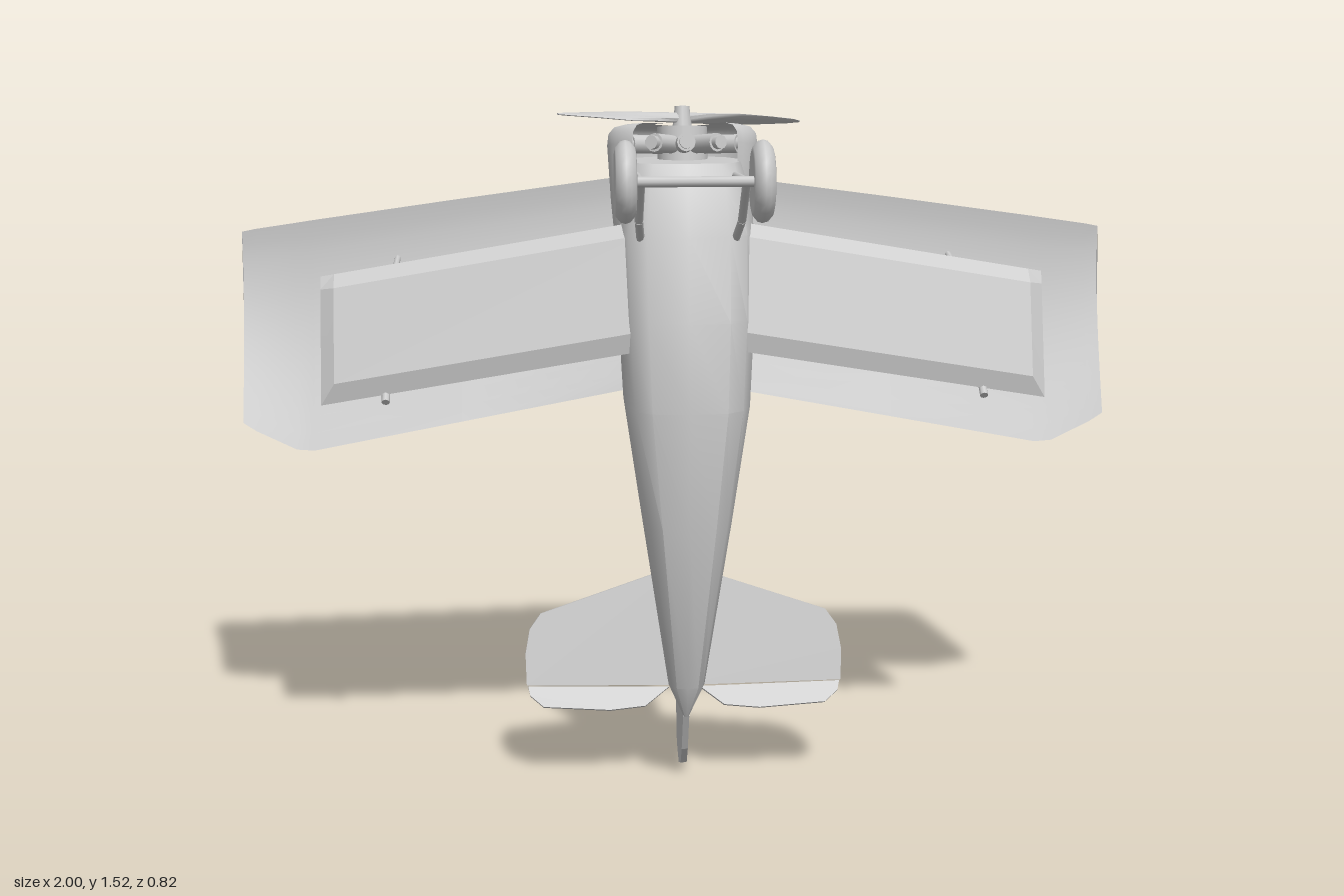
import * as THREE from 'three';
import { toCreasedNormals } from 'three/addons/utils/BufferGeometryUtils.js';

const grey = new THREE.MeshStandardMaterial({ color: 0xcccccc });
const greyThin = new THREE.MeshStandardMaterial({ color: 0xcccccc, side: THREE.DoubleSide });
const V = (x, y, z) => new THREE.Vector3(x, y, z);
const lerp = THREE.MathUtils.lerp;

// Skin closed rings of points, cap both ends, and turn the faces outward
function loft(rings, crease = 0.6) {
  const n = rings[0].length, tris = [];
  for (let i = 0; i < rings.length - 1; i++) {
    for (let j = 0; j < n; j++) {
      const k = (j + 1) % n;
      const a = rings[i][j], b = rings[i][k], c = rings[i + 1][k], d = rings[i + 1][j];
      tris.push([a, b, c], [a, c, d]);
    }
  }
  const cap = (ring, flip) => {
    const mid = V(0, 0, 0);
    ring.forEach(p => mid.addScaledVector(p, 1 / n));
    ring.forEach((p, j) => {
      const q = ring[(j + 1) % n];
      tris.push(flip ? [mid, q, p] : [mid, p, q]);
    });
  };
  cap(rings[0], true);
  cap(rings[rings.length - 1], false);
  let volume = 0;
  for (const [a, b, c] of tris) volume += a.dot(b.clone().cross(c));
  if (volume < 0) tris.forEach(t => t.reverse());
  const geo = new THREE.BufferGeometry().setFromPoints(tris.flat());
  geo.computeVertexNormals();
  return toCreasedNormals(geo, crease);
}

function createParts(group) {
  const add = (name, geo, mat = grey, parent = group) => {
    const mesh = new THREE.Mesh(geo, mat);
    mesh.name = name;
    parent.add(mesh);
    return mesh;
  };
  // Round rod between two points
  const rod = (name, a, b, r, r2 = r, sides = 8) => {
    const dir = b.clone().sub(a);
    const mesh = add(name, new THREE.CylinderGeometry(r2, r, dir.length(), sides));
    mesh.position.copy(a).add(b).multiplyScalar(0.5);
    mesh.quaternion.setFromUnitVectors(V(0, 1, 0), dir.normalize());
    return mesh;
  };
  // Thin plate cut from an outline
  const plate = (name, pts, depth) => {
    const geo = new THREE.ExtrudeGeometry(new THREE.Shape(pts.map(p => new THREE.Vector2(...p))),
      { depth, bevelEnabled: false });
    geo.translate(0, 0, -depth / 2);
    return add(name, geo);
  };

  // Fuselage: [y, half width, back z, belly z], nose upward
  const half = [[0, 1], [0.6, 0.94], [0.86, 0.76], [1, 0.42], [1, -0.3], [0.84, -0.68], [0.5, -0.93], [0, -1]];
  const section = [...half, ...half.slice(1, -1).reverse().map(([u, v]) => [-u, v])];
  const stations = [[1.41, 0.12, -0.11, 0.115], [1.36, 0.135, -0.13, 0.145], [1.26, 0.148, -0.145, 0.178],
    [1.08, 0.145, -0.122, 0.222], [0.89, 0.135, -0.1, 0.24], [0.63, 0.097, -0.06, 0.215],
    [0.25, 0.04, 0.015, 0.14], [0.17, 0.006, 0.07, 0.095]];
  add('fuselage', loft(stations.map(([y, w, back, belly]) =>
    section.map(([u, v]) => V(u * w, y, (back + belly) / 2 + v * (belly - back) / 2)))));

  // Cockpit rim with a shallow well, and the headrest behind it
  const rim = add('cockpitRim', new THREE.TorusGeometry(0.06, 0.012, 8, 24));
  rim.position.set(0, 0.95, -0.112);
  rim.scale.y = 1.2;
  rim.rotation.x = 0.12;
  const headrest = add('headrest', new THREE.SphereGeometry(0.05, 16, 10));
  headrest.scale.set(0.7, 2, 0.6);
  headrest.position.set(0, 0.79, -0.08);

  // Cowling, open at the belly side, with engine and propeller on its tilted axis
  const nose = new THREE.Group();
  nose.name = 'nose';
  nose.position.set(0, 1.26, -0.022);
  nose.rotation.x = -0.12;
  group.add(nose);
  const cowlProfile = [[0.152, -0.005], [0.158, 0.06], [0.165, 0.18], [0.162, 0.205], [0.15, 0.219], [0.13, 0.224], [0.06, 0.226]]
    .map(p => new THREE.Vector2(...p));
  const cowl = add('cowling', toCreasedNormals(new THREE.LatheGeometry(cowlProfile, 40, 0.76, Math.PI * 2 - 1.52), 0.7), greyThin, nose);
  cowl.scale.z = 0.83;
  const crankcase = add('crankcase', new THREE.CylinderGeometry(0.055, 0.055, 0.13, 20), grey, nose);
  crankcase.position.y = 0.155;
  for (let i = -2; i <= 2; i++) {
    const a = i * Math.PI / 6;
    const jug = new THREE.Group();
    jug.name = 'engineCylinder';
    jug.position.set(0, 0.18, 0);
    jug.rotation.y = a;
    nose.add(jug);
    const barrel = add('cylinderBarrel', new THREE.CylinderGeometry(0.02, 0.02, 0.1, 12), grey, jug);
    barrel.rotation.x = Math.PI / 2;
    barrel.position.z = 0.085;
    const head = add('cylinderHead', new THREE.CylinderGeometry(0.015, 0.015, 0.02, 10), grey, jug);
    head.rotation.x = Math.PI / 2;
    head.position.z = 0.14;
  }
  const hub = add('propellerHub', new THREE.CylinderGeometry(0.016, 0.022, 0.05, 12), grey, nose);
  hub.position.y = 0.24;
  const propeller = new THREE.Group();
  propeller.name = 'propeller';
  propeller.position.y = 0.24;
  propeller.rotation.y = 0.46;
  nose.add(propeller);
  const blade = [[0.0, 0.012, 0.012, 0.7], [0.06, 0.016, 0.008, 0.6], [0.14, 0.027, 0.005, 0.4],
    [0.22, 0.026, 0.004, 0.25], [0.28, 0.017, 0.003, 0.2], [0.305, 0.004, 0.002, 0.2]];
  for (const s of [1, -1]) {
    const rings = blade.map(([x, w, t, twist]) => Array.from({ length: 10 }, (_, i) => {
      const a = i / 10 * Math.PI * 2, c = Math.cos(a) * w, d = Math.sin(a) * t;
      return V(s * x, d * Math.cos(twist) + s * c * Math.sin(twist), c * Math.cos(twist) - s * d * Math.sin(twist));
    }));
    add('propellerBlade', loft(rings, 1), grey, propeller);
  }

  // Upper wing: [x, leading y, trailing y, leading z, hump]
  const halfWing = [[0, 1.37, 0.93, -0.318, 0.09], [0.06, 1.36, 0.93, -0.318, 0.09], [0.12, 1.35, 0.868, -0.317, 0.09],
    [0.5, 1.3, 0.797, -0.313, 0.085], [0.84, 1.253, 0.733, -0.309, 0.08], [0.88, 1.247, 0.736, -0.308, 0.079],
    [0.97, 1.234, 0.78, -0.307, 0.075], [1, 1.228, 0.8, -0.306, 0.07]];
  const wing = [...halfWing.slice(1).reverse().map(([x, ...r]) => [-x, ...r]), ...halfWing];
  const N = 14;
  add('upperWing', loft(wing.map(([x, yl, yt, zl, hump]) => {
    const at = (t, h) => V(x, lerp(yl, yt, t), lerp(zl, -0.198, t) - h * Math.sin(Math.PI * Math.pow(t, 0.8)));
    const ring = [];
    for (let i = 0; i <= N; i++) ring.push(at(i / N, hump));
    for (let i = N - 1; i > 0; i--) ring.push(at(i / N, hump * 0.35));
    return ring;
  }), 0.7));

  // Gun above the upper wing
  rod('gunBarrel', V(0, 0.98, -0.332), V(0, 1.225, -0.4), 0.007);
  rod('gunBody', V(0, 0.93, -0.315), V(0, 1.12, -0.37), 0.013, 0.013, 6);
  rod('gunDrum', V(0, 1.055, -0.34), V(0, 1.04, -0.385), 0.032, 0.032, 20);
  rod('gunGrip', V(0, 0.93, -0.31), V(0, 0.945, -0.345), 0.009);
  rod('gunMount', V(0, 1.09, -0.33), V(0, 1.1, -0.365), 0.01);

  for (const s of [1, -1]) {
    // Lower wing with a bevelled underside and tip
    const lower = [[0.1, 1], [0.76, 1], [0.79, 0.1]].map(([x, thick]) => {
      const k = (x - 0.14) / 0.65;
      const le = [lerp(1.28, 1.165, k), lerp(0.095, 0.03, k)], te = [lerp(1.01, 0.895, k), lerp(0.17, 0.105, k)];
      const at = (t, h) => V(s * x, lerp(le[0], te[0], t), lerp(le[1], te[1], t) + h * thick);
      return [at(0, 0), at(0.1, 0.02), at(0.84, 0.02), at(1, 0), at(0.6, -0.012), at(0.25, -0.018)];
    });
    add('lowerWing', loft(lower, 0.2));

    // Struts between the wings and above the fuselage
    rod('interplaneStrut', V(s * 0.655, 1.065, 0.06), V(s * 0.645, 1.165, -0.315), 0.007);
    rod('interplaneStrut', V(s * 0.655, 1.065, 0.06), V(s * 0.65, 0.9, -0.235), 0.007);
    rod('strutFoot', V(s * 0.65, 0.93, 0.1), V(s * 0.65, 0.905, 0.13), 0.009);
    rod('frontCabaneStrut', V(s * 0.125, 1.25, -0.06), V(s * 0.125, 1.222, -0.32), 0.009);
    rod('rearCabaneStrut', V(s * 0.075, 1.09, -0.1), V(0, 1.03, -0.29), 0.007);

    // Landing gear
    const wheel = add('wheel', new THREE.LatheGeometry([[0, -0.017], [0.062, -0.022], [0.07, -0.02], [0.082, -0.01],
      [0.085, 0], [0.082, 0.01], [0.07, 0.02], [0.062, 0.022], [0, 0.017]].map(p => new THREE.Vector2(...p)), 24));
    wheel.rotation.z = Math.PI / 2;
    wheel.position.set(s * 0.14, 1.39, 0.328);
    rod('frontGearLeg', V(s * 0.108, 1.39, 0.328), V(s * 0.105, 1.383, 0.09), 0.009);
    rod('rearGearLeg', V(s * 0.108, 1.39, 0.328), V(s * 0.108, 1.3, 0.225), 0.009);
    rod('rearGearFoot', V(s * 0.108, 1.3, 0.225), V(s * 0.1, 1.245, 0.135), 0.009);

    // Tailplane and elevator, hinged along y = 0.225
    const tail = plate('tailplane', [[0, 0.5], [0.07, 0.475], [0.325, 0.39], [0.35, 0.355], [0.36, 0.3],
      [0.358, 0.228], [0, 0.222]].map(([x, y]) => [s * x, y - 0.225]), 0.016);
    tail.position.set(0, 0.225, 0.02);
    tail.rotation.x = -0.2;
    const elevator = plate('elevator', [[0.035, -0.005], [0.355, 0.002], [0.35, -0.02], [0.32, -0.046], [0.17, -0.056],
      [0.09, -0.048]].map(([x, y]) => [s * x, y]), 0.012);
    elevator.position.set(0, 0.222, 0.02);
    elevator.rotation.x = -0.5;
  }
  rod('axle', V(-0.14, 1.39, 0.328), V(0.14, 1.39, 0.328), 0.011);

  // Rudder, drawn in (-z, y)
  const rudder = plate('rudder', [[-0.015, 0.25], [0.012, 0.33], [0.12, 0.315], [0.16, 0.255], [0.172, 0.19], [0.17, 0.115],
    [0.142, 0.03], [0.07, 0.003], [0, 0.028], [-0.04, 0.075], [-0.09, 0.17]], 0.014);
  rudder.rotation.y = Math.PI / 2;
}

export function createModel() {
  const group = new THREE.Group();
  group.name = 'biplane';
  createParts(group);
  return group;
}
